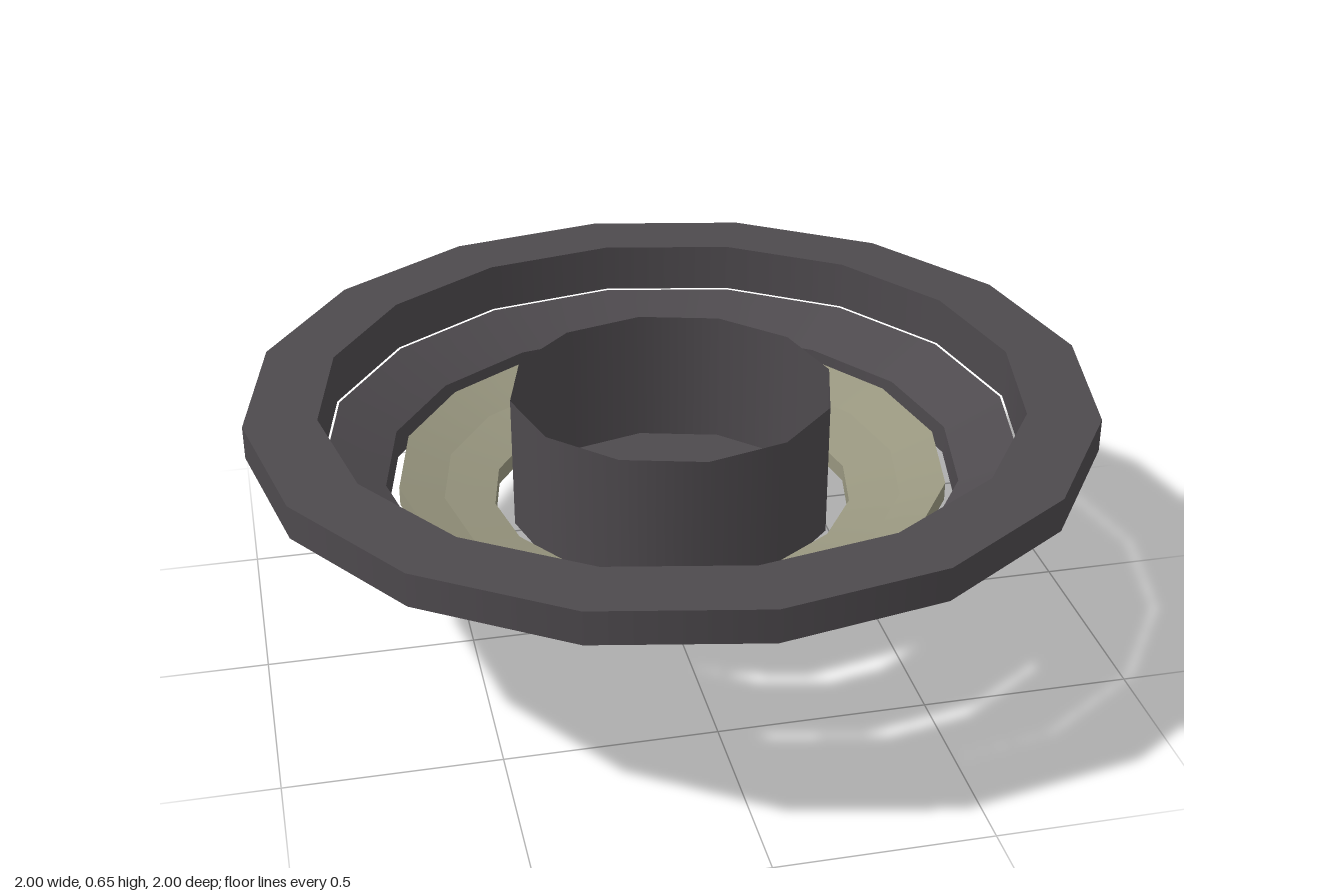
import * as THREE from 'three';
import { mergeGeometries } from 'three/addons/utils/BufferGeometryUtils.js';

// Profiles are [radius, y] points, running counter-clockwise (outside faces upward).
const lathe = (points, sides) =>
  new THREE.LatheGeometry(points.map(([r, y]) => new THREE.Vector2(r, y)), sides);

// Smooth around the axis, with a sharp crease at every profile point.
function creasedLathe(points, sides, closed) {
  const bands = [];
  const count = closed ? points.length : points.length - 1;
  for (let i = 0; i < count; i++) {
    bands.push(lathe([points[i], points[(i + 1) % points.length]], sides));
  }
  return mergeGeometries(bands);
}

function facetedLathe(points, sides) {
  const geometry = lathe(points, sides).toNonIndexed();
  geometry.computeVertexNormals();
  return geometry;
}

export function createModel() {
  const darkMetal = new THREE.MeshStandardMaterial({ color: 0x4e4a4e });
  darkMetal.name = 'dark metal';
  const darkShell = new THREE.MeshStandardMaterial({ color: 0x4e4a4e, side: THREE.DoubleSide });
  darkShell.name = 'dark metal shell';
  const oliveMetal = new THREE.MeshStandardMaterial({ color: 0x98967f });
  oliveMetal.name = 'olive metal';
  const paleGlass = new THREE.MeshStandardMaterial({ color: 0xd8d8d8 });
  paleGlass.name = 'pale glass';

  const group = new THREE.Group();
  const add = (name, geometry, material) => {
    const mesh = new THREE.Mesh(geometry, material);
    mesh.name = name;
    group.add(mesh);
  };

  // Three concentric rings stepping down towards the middle
  add('outerRing', creasedLathe(
    [[0.83, 0.53], [1, 0.57], [1, 0.65], [0.83, 0.65]], 16, true), darkMetal);
  add('middleRing', creasedLathe(
    [[0.685, 0.39], [0.705, 0.39], [0.825, 0.46], [0.825, 0.528], [0.685, 0.46]], 16, true), darkMetal);
  add('innerRing', creasedLathe(
    [[0.43, 0.34], [0.55, 0.35], [0.655, 0.405], [0.655, 0.45], [0.55, 0.41], [0.43, 0.38]], 16, true), oliveMetal);

  // Open-topped central housing with a stepped floor
  add('housing', creasedLathe(
    [[0, 0.345], [0.305, 0.345], [0.345, 0.32], [0.385, 0.32], [0.385, 0.65]], 12, false), darkShell);

  // Faceted bulb hanging below the housing
  add('bulb', facetedLathe(
    [[0, 0], [0.05, 0.002], [0.11, 0.015], [0.2, 0.06], [0.25, 0.115], [0.303, 0.165],
      [0.303, 0.185], [0.255, 0.21], [0.23, 0.25], [0.235, 0.29], [0.205, 0.345]], 12), paleGlass);

  return group;
}
